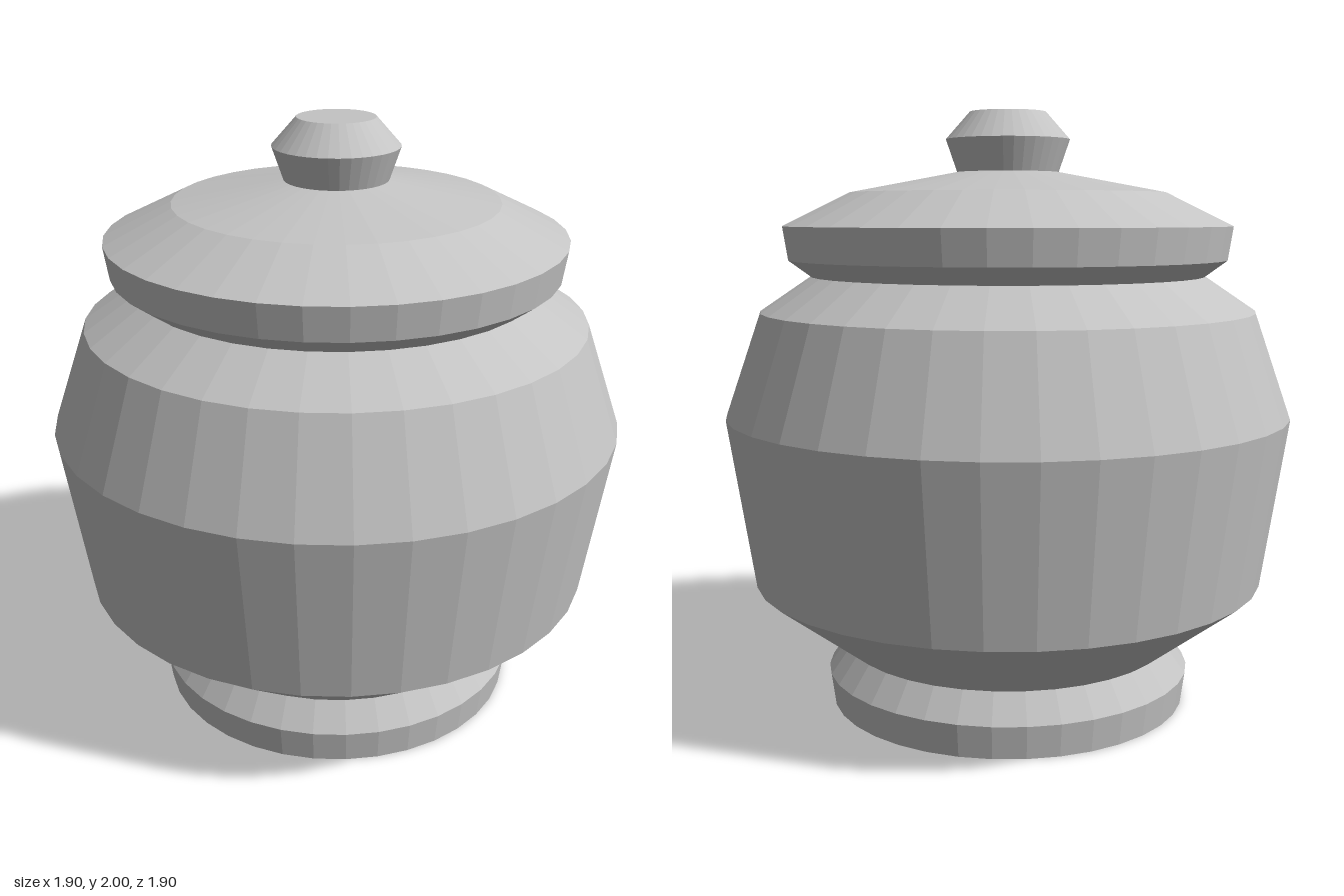
import * as THREE from 'three';

const SIDES = 36;

export function createModel() {
  const jar = new THREE.Group();
  jar.name = 'liddedJar';
  const clay = new THREE.MeshStandardMaterial({ color: 0xc4c4c4, flatShading: true });
  clay.name = 'pale grey clay';

  // Turn a profile of [radius, height] points, listed from bottom to top
  const turn = (name, profile) => {
    const points = profile.map(([r, y]) => new THREE.Vector2(r, y));
    const mesh = new THREE.Mesh(new THREE.LatheGeometry(points, SIDES), clay);
    mesh.name = name;
    jar.add(mesh);
  };

  // Foot with a closed underside
  turn('foot', [[0, 0], [0.61, 0], [0.625, 0.11], [0.56, 0.2]]);
  // Belly from the foot up to the neck
  turn('body', [[0.56, 0.2], [0.865, 0.435], [0.95, 1.0], [0.83, 1.345], [0.66, 1.46]]);
  // Lid with a bevelled lip and shallow dome
  turn('lid', [[0.66, 1.46], [0.735, 1.515], [0.752, 1.625], [0.53, 1.735], [0.17, 1.803]]);
  // Knob with a flat top
  turn('knob', [[0.17, 1.803], [0.207, 1.91], [0.127, 2], [0, 2]]);

  return jar;
}
